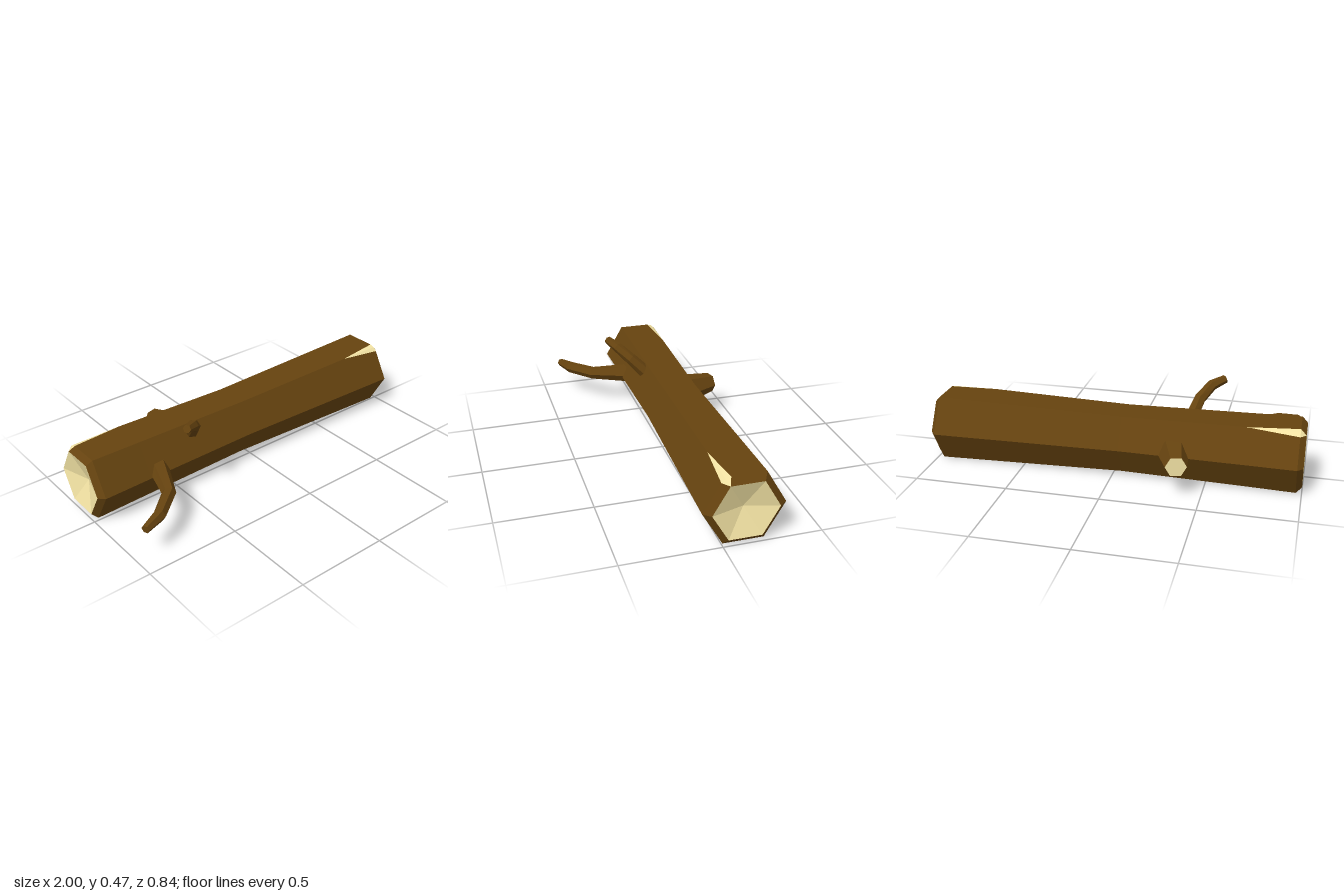
import * as THREE from 'three';

const bark = new THREE.MeshStandardMaterial({ color: 0x66430f, flatShading: true });
const wood = new THREE.MeshStandardMaterial({ color: 0xf3e3a4, flatShading: true });
const SIDES = 6;

// Triangles (Vector3 corners) to a named mesh
function meshFrom(name, tris, material) {
  const geo = new THREE.BufferGeometry().setFromPoints(tris);
  geo.computeVertexNormals();
  const mesh = new THREE.Mesh(geo, material);
  mesh.name = name;
  return mesh;
}

function addTri(tris, a, b, c) {
  const area = b.clone().sub(a).cross(c.clone().sub(a)).length();
  if (area > 1e-7) tris.push(a, b, c);
}

// Walls between successive rings; pick(j) chooses the triangle list for column j
function addWalls(rings, pick) {
  for (let i = 0; i < rings.length - 1; i++) {
    const p = rings[i], q = rings[i + 1], n = p.length;
    for (let j = 0; j < n; j++) {
      const k = (j + 1) % n;
      addTri(pick(j), p[j], p[k], q[k]);
      addTri(pick(j), p[j], q[k], q[j]);
    }
  }
}

// Fan from a ring to a centre point
function addCap(tris, ring, centre, flip) {
  ring.forEach((p, j) => {
    const q = ring[(j + 1) % ring.length];
    if (flip) addTri(tris, q, p, centre);
    else addTri(tris, p, q, centre);
  });
}

// Trunk: hexagonal rings along x; every corner is three points that spread where it is chipped
function makeTrunk() {
  const cy = 0.18, cz = -0.11;
  const stations = [
    { x: -1, r: 0.168 }, { x: -0.97, r: 0.199, chip: 4 }, { x: -0.7, r: 0.193 },
    { x: -0.05, r: 0.181 },
    { x: 0.72, r: 0.2 }, { x: 0.97, r: 0.206, chip: 5 }, { x: 1, r: 0.168 },
  ];
  const rings = stations.map(({ x, r, chip }) => {
    const corner = (k) => {
      const a = (k * 2 * Math.PI) / SIDES;
      return new THREE.Vector3(x, cy - r * Math.sin(a), cz + r * Math.cos(a));
    };
    const ring = [];
    for (let k = 0; k < SIDES; k++) {
      const t = k === chip ? 0.15 : 0;
      ring.push(
        corner(k).lerp(corner(k - 1), t),
        corner(k).lerp(new THREE.Vector3(x, cy, cz), t * 0.3),
        corner(k).lerp(corner(k + 1), t),
      );
    }
    return ring;
  });

  const barkTris = [], chipTris = [], endTris = [];
  addWalls(rings, (j) => (j % 3 === 2 ? barkTris : chipTris));
  // Slightly hollowed cut ends
  addCap(endTris, rings[0], new THREE.Vector3(-0.95, cy, cz), true);
  addCap(endTris, rings[rings.length - 1], new THREE.Vector3(0.95, cy, cz), false);

  const trunk = new THREE.Group();
  trunk.name = 'trunk';
  trunk.add(meshFrom('trunkBark', barkTris, bark), meshFrom('chippedEdges', chipTris, wood),
    meshFrom('cutEnds', endTris, wood));
  return trunk;
}

// Branch: hexagonal rings along a bent path of [x, y, z, radius]
function makeBranch(name, path, tipMaterial) {
  const pts = path.map(([x, y, z]) => new THREE.Vector3(x, y, z));
  const rings = pts.map((p, i) => {
    const dir = new THREE.Vector3();
    if (i > 0) dir.add(p.clone().sub(pts[i - 1]).normalize());
    if (i < pts.length - 1) dir.add(pts[i + 1].clone().sub(p).normalize());
    dir.normalize();
    const side = new THREE.Vector3(0, 1, 0).cross(dir).normalize();
    const up = dir.clone().cross(side);
    return Array.from({ length: SIDES }, (_, k) => {
      const a = (k * 2 * Math.PI) / SIDES, r = path[i][3];
      return p.clone().addScaledVector(side, r * Math.cos(a)).addScaledVector(up, r * Math.sin(a));
    });
  });
  const walls = [], tip = [];
  addWalls(rings, () => walls);
  addCap(tip, rings[rings.length - 1], pts[pts.length - 1], false);
  const branch = new THREE.Group();
  branch.name = name;
  branch.add(meshFrom(name + 'Bark', walls, bark), meshFrom(name + 'Tip', tip, tipMaterial));
  return branch;
}

export function createModel() {
  const log = new THREE.Group();
  log.name = 'log';
  log.add(
    makeTrunk(),
    makeBranch('longBranch', [
      [-0.622, 0.19, 0.02, 0.055], [-0.705, 0.181, 0.24, 0.036],
      [-0.835, 0.177, 0.352, 0.033], [-0.945, 0.17, 0.395, 0.022],
    ], bark),
    makeBranch('upperBranch', [
      [-0.388, 0.29, -0.01, 0.038], [-0.42, 0.372, 0.07, 0.033],
      [-0.475, 0.43, 0.135, 0.029], [-0.54, 0.455, 0.178, 0.022],
    ], bark),
    makeBranch('sawnStub', [
      [-0.335, 0.18, -0.25, 0.083], [-0.377, 0.18, -0.406, 0.056],
    ], wood),
  );
  return log;
}
